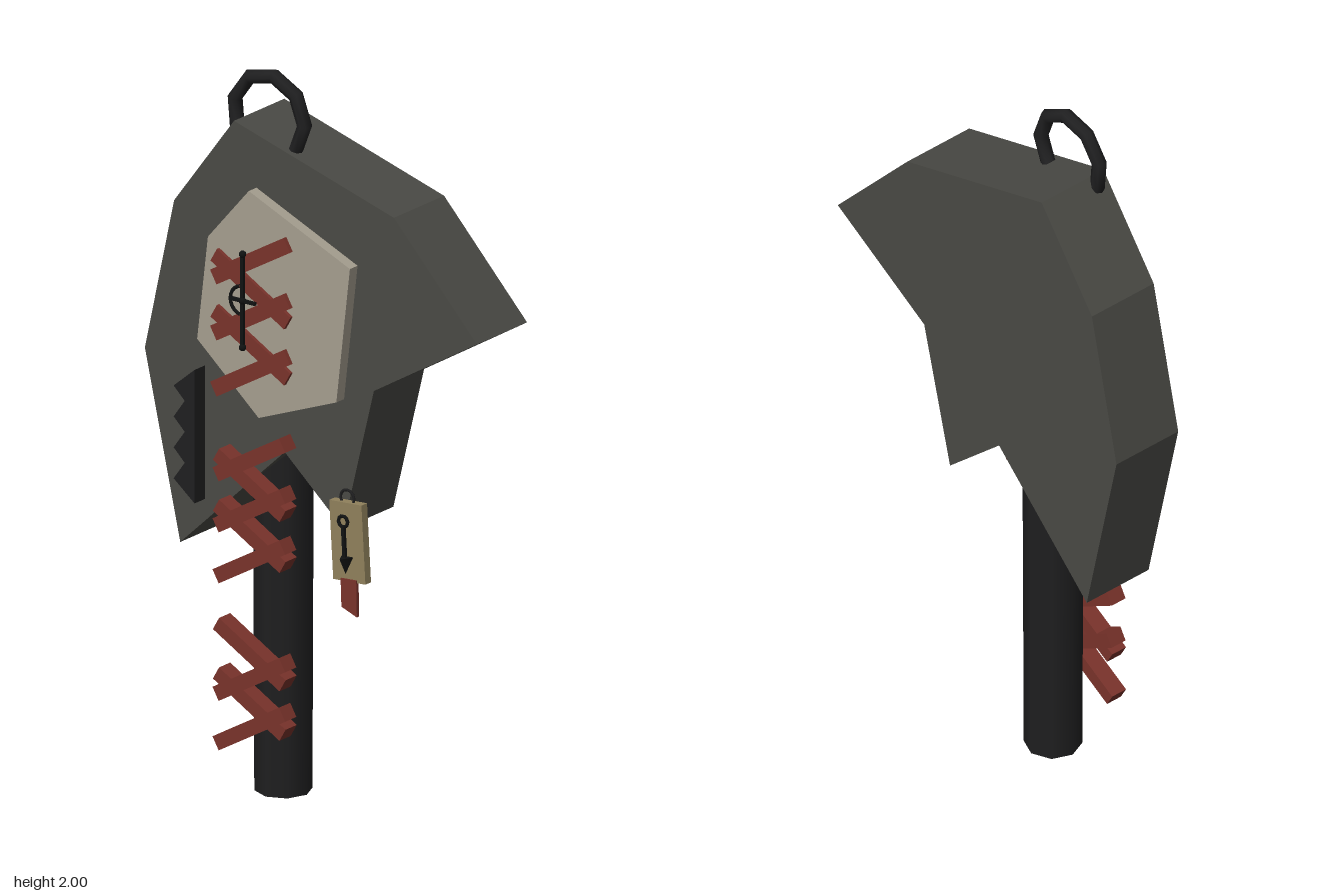
import * as THREE from 'three';

const mat = (name, color, extra = {}) => {
  const m = new THREE.MeshStandardMaterial({ color, ...extra });
  m.name = name;
  return m;
};

export function createModel() {
  const stone = mat('darkStone', 0x4a4a45);
  const bone = mat('paleBone', 0xa59e8f);
  const red = mat('redCord', 0x7a332b);
  const wood = mat('tagWood', 0x90815c);
  const black = mat('blackIron', 0x1f1f20);
  const ink = mat('inkBlack', 0x101212);

  const root = new THREE.Group();
  root.name = 'axe';
  const add = (name, geo, material, x = 0, y = 0, z = 0, rz = 0, parent = root) => {
    const m = new THREE.Mesh(geo, material);
    m.name = name;
    m.position.set(x, y, z);
    m.rotation.z = rz;
    parent.add(m);
    return m;
  };
  const group = (name, x = 0, y = 0, z = 0, rz = 0) => {
    const g = new THREE.Group();
    g.name = name;
    g.position.set(x, y, z);
    g.rotation.z = rz;
    root.add(g);
    return g;
  };
  // Flat slab from an outline, between two depths
  const slab = (pts, z0, z1) => {
    const shape = new THREE.Shape(pts.map(([x, y]) => new THREE.Vector2(x, y)));
    return new THREE.ExtrudeGeometry(shape, { depth: z1 - z0, bevelEnabled: false }).translate(0, 0, z0);
  };

  // Stone head with a notch for the handle
  add('bladeHead', slab([
    [-0.25, 1.845], [-0.445, 1.585], [-0.54, 1.16], [-0.425, 0.65], [-0.085, 0.97],
    [0.105, 0.8], [0.205, 1.2], [0.54, 1.4], [0.27, 1.69],
  ], -0.17, 0.045), stone);

  // Pale plate on the front face
  add('facePlate', slab([
    [-0.177, 1.677], [-0.31, 1.523], [-0.345, 1.235], [-0.145, 1.06], [0.108, 1.157], [0.152, 1.533],
  ], 0.045, 0.078), bone);

  // Handle
  add('handle', new THREE.CylinderGeometry(0.08, 0.076, 1.1, 8), black, -0.164, 0.55, -0.053);

  // Hanging loop on top
  add('hangingLoop', new THREE.TorusGeometry(0.115, 0.02, 8, 6, 4.32), black, -0.163, 1.865, 0.009, -0.73);

  // Criss-cross cords: slope alternates from one strip to the next
  const lashing = (name, top, count, step, sign, size, z) => {
    const g = group(name, -0.164, 0, z);
    for (let i = 0; i < count; i++) {
      const dir = i % 2 ? -sign : sign;
      // tiny depth offset stops crossing strips from sharing a face
      add('cordStrip', new THREE.BoxGeometry(...size), red, 0, top - i * step, dir * 0.0008, dir * Math.PI / 6, g);
    }
  };
  lashing('plateLashing', 1.49, 5, 0.077, 1, [0.276, 0.042, 0.012], 0.083);
  lashing('upperLashing', 0.945, 5, 0.07, 1, [0.25, 0.04, 0.048], 0.07);
  lashing('lowerLashing', 0.41, 4, 0.068, -1, [0.25, 0.04, 0.048], 0.07);

  // Small dark emblem on the plate
  const emblem = group('plateEmblem', -0.185, 1.378, 0.094);
  add('emblemStem', new THREE.BoxGeometry(0.009, 0.26, 0.008), ink, 0, 0, 0, 0, emblem);
  add('emblemBar', new THREE.BoxGeometry(0.085, 0.009, 0.008), ink, 0, 0, 0, 0, emblem);
  add('emblemArc', new THREE.TorusGeometry(0.04, 0.005, 6, 10, Math.PI * 0.9), ink, 0, 0, 0, Math.PI * 0.55, emblem);
  for (const y of [-0.128, 0, 0.128]) {
    add('emblemKnob', new THREE.SphereGeometry(0.01, 8, 6), ink, 0, y, 0, 0, emblem);
  }

  // Serrated strip on the left edge of the front face
  const teeth = [[-0.32, 0.8], [-0.32, 1.167]];
  for (let i = 0; i < 4; i++) {
    const y = 1.11 - i * 0.085;
    teeth.push([-0.388, y], [-0.352, y - 0.035]);
  }
  teeth.pop();
  add('serratedStrip', slab(teeth, 0.077, 0.122), black);

  // Hanging tag with ring, arrow and red ribbon
  const tag = group('hangingTag', 0.187, 0.806, 0.123, 0.06);
  add('tagBoard', new THREE.BoxGeometry(0.105, 0.215, 0.024), wood, 0, 0, 0, 0, tag);
  add('tagRing', new THREE.TorusGeometry(0.022, 0.004, 6, 12), black, -0.002, 0.117, 0, 0, tag);
  add('arrowRing', new THREE.TorusGeometry(0.015, 0.005, 6, 10), ink, -0.006, 0.057, 0.018, 0, tag);
  add('arrowShaft', new THREE.BoxGeometry(0.009, 0.11, 0.009), ink, -0.003, -0.008, 0.022, 0, tag);
  const head = add('arrowHead', new THREE.ConeGeometry(0.022, 0.045, 3), ink, 0, -0.06, 0.026, Math.PI, tag);
  head.geometry.computeVertexNormals();
  add('tagRibbon', slab([
    [-0.025, -0.1], [-0.027, -0.178], [0.022, -0.2], [0.026, -0.1],
  ], 0.006, 0.016), red, 0, 0, 0, 0, tag);

  return root;
}
